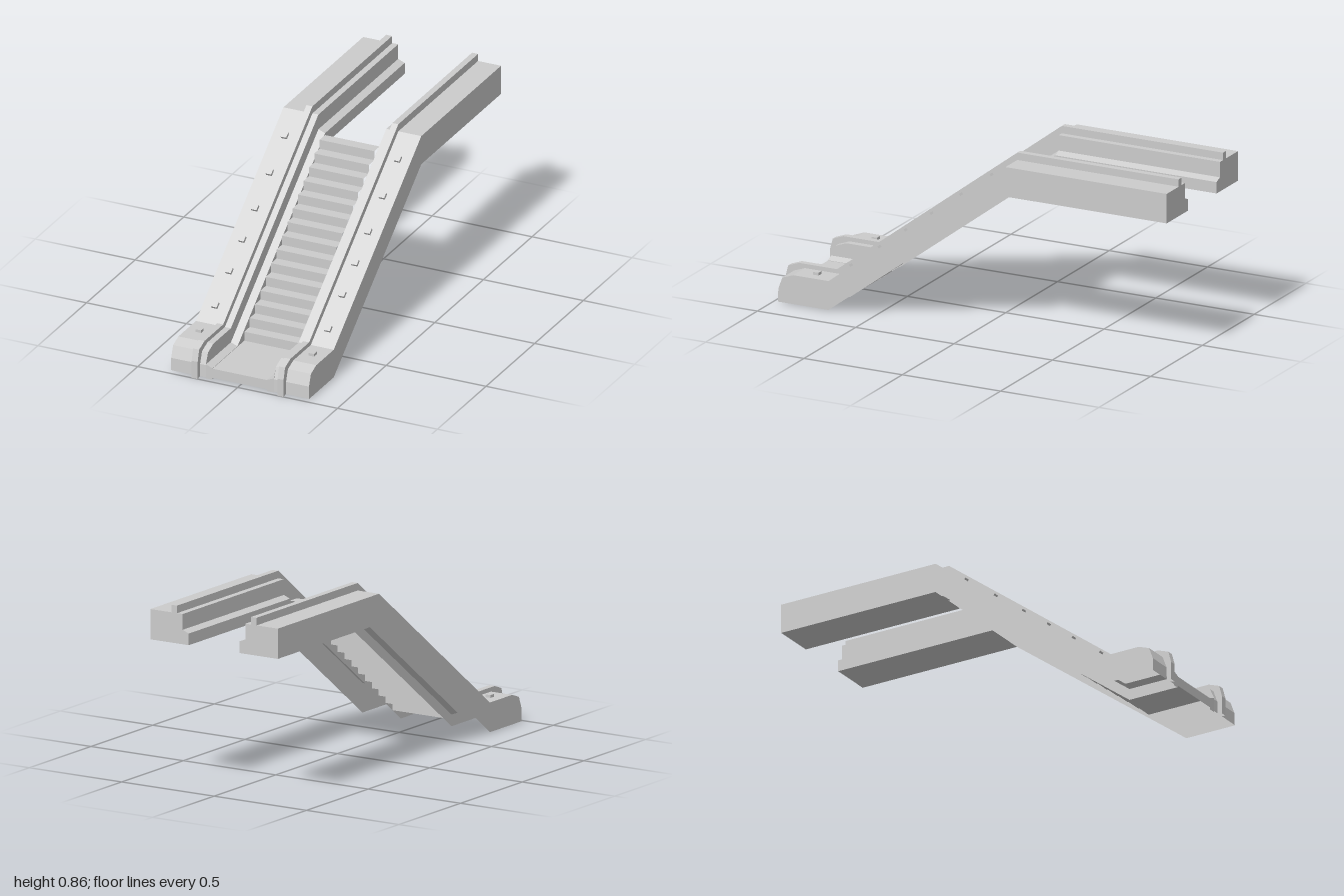
import * as THREE from 'three';

const metal = new THREE.MeshStandardMaterial({ color: 0xcccccc, side: THREE.DoubleSide, flatShading: true });
metal.name = 'light grey metal';

// Side profiles as [z, y], from the back end down to the foot
const housing = [[-1, 0.82], [-0.18, 0.82], [0.72, 0.14], [0.9, 0.14], [0.955, 0.12], [0.975, 0.065], [0.977, 0.005]];
const rail = [[-1, 0.855], [-0.18, 0.855], [0.737, 0.16], [0.93, 0.16], [0.985, 0.14], [1, 0.085], [1, 0]];
const skirt = [[-1, 0.747], [-0.18, 0.747], [0.72, 0.07], [0.9, 0.07], [0.955, 0.07], [0.977, 0.07], [0.977, 0]];
const skirtLow = skirt.map(([z, y], i) => [z, i < 6 ? y - 0.013 : y]);
const base = [[-1, 0.68], [-0.18, 0.68], [0.72, 0.003], [0.9, 0.003], [0.955, 0.003], [0.977, 0.003], [0.977, 0.003]];

// Cross-section of one balustrade, from the outer wall over the top to the inner wall
const section = [
  [0.345, base], [0.345, housing], [0.23, housing], [0.23, rail], [0.2, rail],
  [0.2, housing], [0.17, housing], [0.17, skirt], [0.137, skirtLow], [0.137, base],
];

function meshFrom(triangles, name) {
  const geo = new THREE.BufferGeometry();
  geo.setAttribute('position', new THREE.Float32BufferAttribute(triangles.flat(), 3));
  geo.computeVertexNormals();
  const mesh = new THREE.Mesh(geo, metal);
  mesh.name = name;
  return mesh;
}

function balustrade(side) {
  const tris = [];
  const point = (i, j) => {
    const [x, profile] = section[j];
    return [side * x, profile[i][1], profile[i][0]];
  };
  const tri = (a, b, c) => (side > 0 ? tris.push(a, b, c) : tris.push(a, c, b));
  const quad = (a, b, c, d) => { tri(a, b, c); tri(a, c, d); };
  const last = section.length - 1;

  // Shell, open underneath along the slope
  for (let i = 0; i < base.length - 1; i++) {
    for (let j = 0; j < last; j++) quad(point(i, j), point(i, j + 1), point(i + 1, j + 1), point(i + 1, j));
  }
  // Underside of the level upper run
  quad(point(0, last), point(0, 0), point(1, 0), point(1, last));
  // Back end cap
  const outline = section.map(([x, p]) => new THREE.Vector2(x, p[0][1]));
  for (const [a, b, c] of THREE.ShapeUtils.triangulateShape(outline, [])) tri(point(0, a), point(0, c), point(0, b));

  return meshFrom(tris, side > 0 ? 'leftBalustrade' : 'rightBalustrade');
}

function stairs() {
  const count = 15, rise = 0.67 / count, run = 0.83 / count;
  const line = [[0.977, 0.01], [0.977, 0.055], [0.65, 0.055]];
  for (let i = 0; i < count; i++) {
    const y = 0.055 + (i + 1) * rise;
    line.push([0.65 - i * run, y], [0.65 - (i + 1) * run, y]);
  }
  const tris = [], w = 0.137;
  for (let i = 0; i < line.length - 1; i++) {
    const [z0, y0] = line[i], [z1, y1] = line[i + 1];
    const a = [-w, y0, z0], b = [w, y0, z0], c = [w, y1, z1], d = [-w, y1, z1];
    tris.push(a, b, c, a, c, d);
  }
  return meshFrom(tris, 'stepsAndLanding');
}

export function createModel() {
  const model = new THREE.Group();
  model.name = 'escalator';
  model.add(stairs());

  const lampGeo = new THREE.BoxGeometry(0.028, 0.026, 0.028);
  const slope = Math.atan2(0.68, 0.9);
  for (const side of [1, -1]) {
    model.add(balustrade(side));
    // Small blocks along the outer deck, the lowest on the level part
    for (const z of [-0.07, 0.085, 0.235, 0.367, 0.5, 0.645, 0.81]) {
      const level = z > 0.72;
      const lamp = new THREE.Mesh(lampGeo, metal);
      lamp.name = 'deckLamp';
      lamp.position.set(side * 0.283, level ? 0.14 : 0.82 - (z + 0.18) * 0.68 / 0.9, z);
      lamp.rotation.x = level ? 0 : slope;
      model.add(lamp);
    }
  }
  return model;
}
